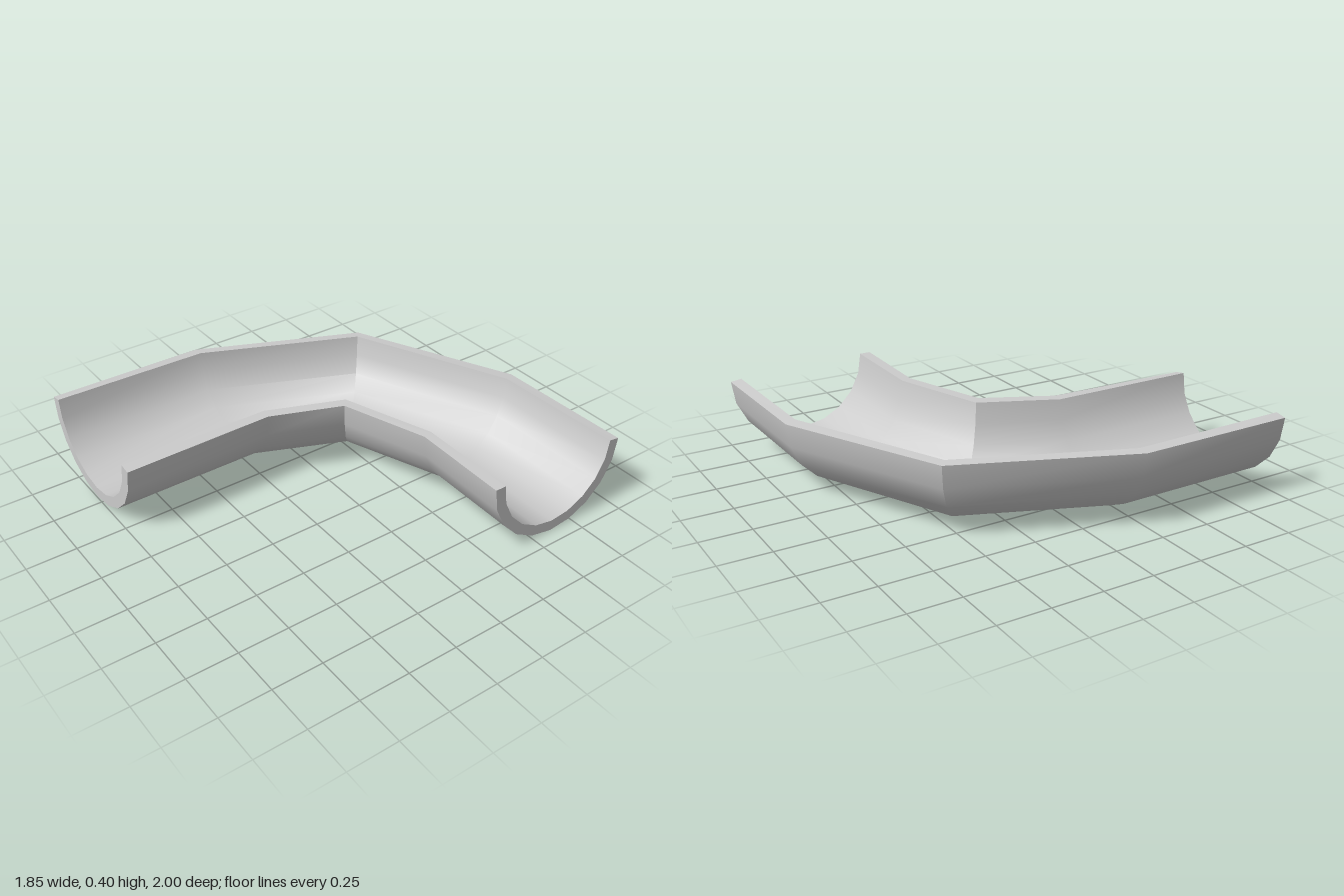
import * as THREE from 'three';
import { toCreasedNormals } from 'three/addons/utils/BufferGeometryUtils.js';

const SEGMENTS = 10;

// Rim corners [x, y, z] at each station along the bend:
// far wall outside and inside, near wall inside and outside, then the floor height
const STATIONS = [
  { farOut: [-0.925, 0.385, 1], farIn: [-0.87, 0.395, 1], nearIn: [-0.205, 0.395, 1], nearOut: [-0.15, 0.385, 1], floor: 0.01 },
  { farOut: [-0.925, 0.38, 0.2], farIn: [-0.87, 0.385, 0.2], nearIn: [-0.205, 0.395, 0.24], nearOut: [-0.15, 0.395, 0.25], floor: 0.008 },
  { farOut: [-0.58, 0.375, -0.61], farIn: [-0.54, 0.38, -0.575], nearIn: [-0.05, 0.4, -0.135], nearOut: [-0.005, 0.402, -0.095], floor: 0.004 },
  { farOut: [0.215, 0.372, -0.985], farIn: [0.24, 0.378, -0.93], nearIn: [0.41, 0.402, -0.29], nearOut: [0.425, 0.402, -0.24], floor: 0 },
  { farOut: [0.925, 0.37, -1], farIn: [0.925, 0.378, -0.945], nearIn: [0.925, 0.402, -0.283], nearOut: [0.925, 0.402, -0.228], floor: 0 },
];
const WALL = 0.056;

// Half ellipse hanging between two rim points down to the floor
function hangingArc(from, to, floor) {
  const a = new THREE.Vector3(...from), b = new THREE.Vector3(...to);
  const middle = a.clone().add(b).multiplyScalar(0.5);
  const half = a.sub(b).multiplyScalar(0.5);
  return Array.from({ length: SEGMENTS + 1 }, (_, i) => {
    const t = (i / SEGMENTS) * Math.PI;
    const p = middle.clone().addScaledVector(half, Math.cos(t));
    p.y -= Math.sin(t) * (middle.y - floor);
    return p;
  });
}

// Closed ring: the outside from far to near rim, then the inside back again
function section({ farOut, farIn, nearIn, nearOut, floor }) {
  return [...hangingArc(farOut, nearOut, floor), ...hangingArc(nearIn, farIn, floor + WALL)];
}

function channelGeometry() {
  const rings = STATIONS.map(section);
  const n = rings[0].length;
  const index = [];
  const quad = (a, b, c, d) => index.push(a, b, c, a, c, d);

  // Walls and rims
  for (let s = 0; s < rings.length - 1; s++) {
    for (let k = 0; k < n; k++) {
      const a = s * n + k, b = s * n + ((k + 1) % n);
      quad(a, a + n, b + n, b);
    }
  }
  // Two cut ends
  const last = (rings.length - 1) * n;
  for (let k = 0; k < SEGMENTS; k++) {
    quad(k, k + 1, n - 2 - k, n - 1 - k);
    quad(last + n - 1 - k, last + n - 2 - k, last + k + 1, last + k);
  }

  const geometry = new THREE.BufferGeometry().setFromPoints(rings.flat());
  geometry.setIndex(index);
  // Smooth trough, sharp rims, ends and the tightest corner of the bend
  return toCreasedNormals(geometry, 0.6);
}

export function createModel() {
  const group = new THREE.Group();
  group.name = 'curvedChannel';
  const channel = new THREE.Mesh(
    channelGeometry(),
    new THREE.MeshStandardMaterial({ color: 0xcccccc })
  );
  channel.name = 'halfPipeBend';
  group.add(channel);
  return group;
}
